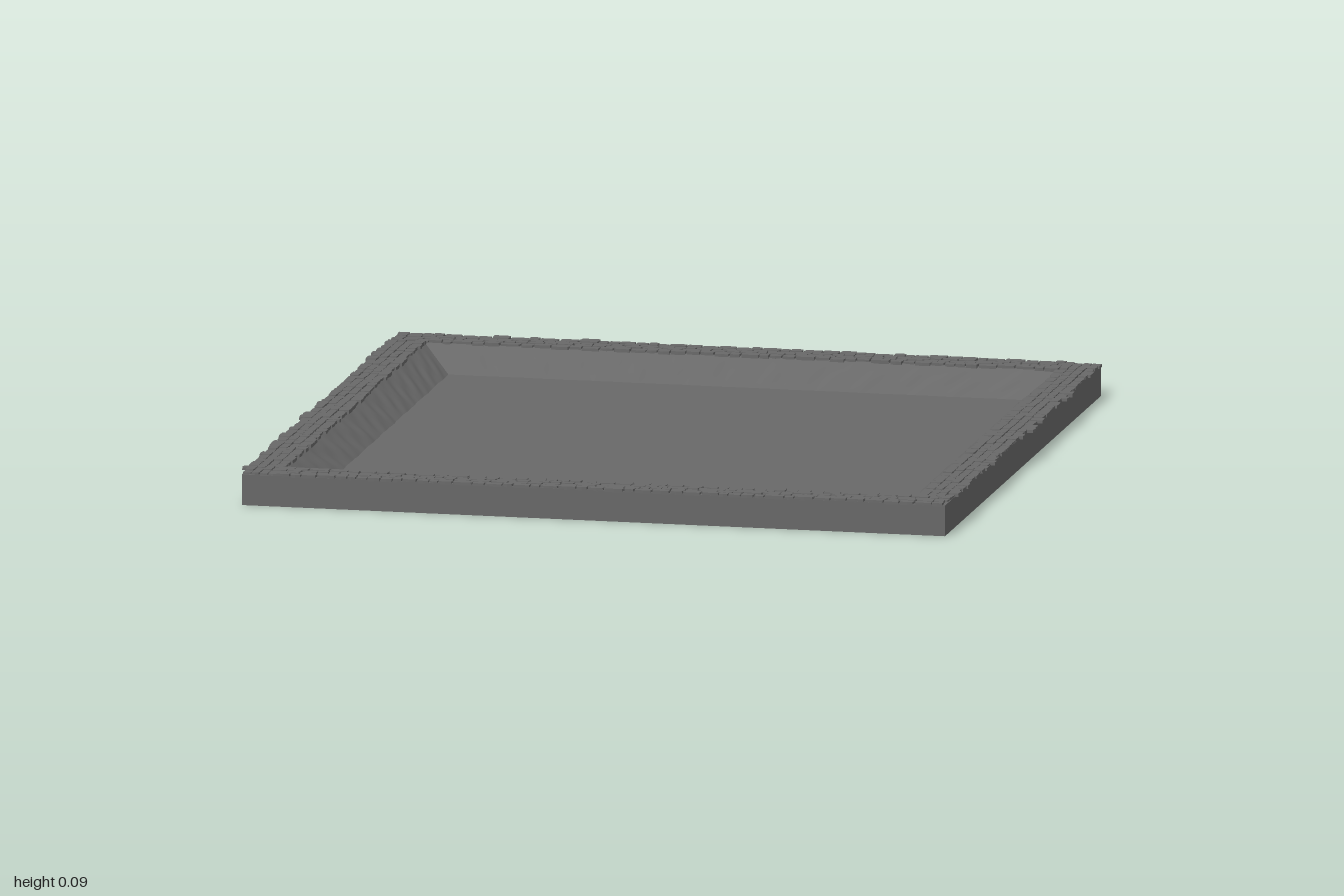
import * as THREE from 'three';
import { mergeGeometries } from 'three/addons/utils/BufferGeometryUtils.js';

const OUTER = 0.98, RIM = 0.885, FLOOR = 0.8; // half widths
const TOP = 0.085, FLOOR_Y = 0.016;           // heights

function seeded(seed) {
  return () => {
    seed = (seed * 16807) % 2147483647;
    return seed / 2147483647;
  };
}

const square = (h, Type) => new Type([[-h, -h], [h, -h], [h, h], [-h, h]].map(([x, y]) => new THREE.Vector2(x, y)));

// Sloped, rippled earth bank along the back side, mitred at both ends
function bankGeometry(phase) {
  const geo = new THREE.PlaneGeometry(2, 1, 120, 6);
  const p = geo.attributes.position;
  for (let i = 0; i < p.count; i++) {
    const u = p.getX(i), v = p.getY(i) + 0.5;
    const fade = Math.min(1, (1 - Math.abs(u)) * 12);
    const ripple = Math.sin(u * 23 + phase + v * 3) + 0.6 * Math.sin(u * 57 - v * 4 + phase * 2) + 0.3 * Math.sin(u * 97 + phase * 5);
    const bulge = ripple * fade * 0.012 * v * (1 - v) + ripple * fade * 0.0012 * (1 - v);
    const r = THREE.MathUtils.lerp(FLOOR, RIM, v) + bulge;
    p.setXYZ(i, u * r, THREE.MathUtils.lerp(FLOOR_Y, TOP, v), -r);
  }
  geo.computeVertexNormals();
  return geo;
}

// One flat cobble: a slab with rounded, uneven corners
function stoneGeometry(x, z, w, d, top, rand) {
  const geo = new THREE.CylinderGeometry(0.96, 1, 1, 8, 1);
  const jitter = Array.from({ length: 8 }, (_, k) => (k % 2 ? 1.28 : 1) * (0.94 + rand() * 0.12));
  const base = TOP - 0.003;
  const p = geo.attributes.position;
  for (let i = 0; i < p.count; i++) {
    const px = p.getX(i), pz = p.getZ(i);
    const k = (Math.round(Math.atan2(pz, px) / (Math.PI / 4)) + 8) % 8;
    p.setXYZ(i, x + px * jitter[k] * w / 2, p.getY(i) > 0 ? top : base, z + pz * jitter[k] * d / 2);
  }
  return geo;
}

// Irregular rows of cobbles along the back rim; overhang is the outer spill
function cobbleGeometry(seed, overhang) {
  const rand = seeded(seed), stones = [], rows = 4;
  const depth = (OUTER - RIM) / rows;
  for (let row = 0; row < rows; row++) {
    let x = -OUTER + rand() * 0.01;
    while (x < RIM - 0.012) {
      const w = Math.min(0.024 + rand() * 0.034, RIM - x);
      const outSpill = row === rows - 1 ? overhang * rand() * rand() : 0;
      const inSpill = row === 0 ? 0.01 * rand() : 0;
      const d = depth * (0.96 + rand() * 0.08) + outSpill + inSpill;
      const z = -(RIM + depth * (row + 0.5) + (outSpill - inSpill) / 2);
      stones.push(stoneGeometry(x + w / 2, z, w, d, TOP + 0.004 + rand() * 0.003, rand));
      x += w;
    }
  }
  const merged = mergeGeometries(stones);
  merged.computeVertexNormals();
  return merged;
}

export function createModel() {
  const group = new THREE.Group();
  const smooth = new THREE.MeshStandardMaterial({ color: 0x686868 });
  const flat = new THREE.MeshStandardMaterial({ color: 0x686868, flatShading: true });
  const add = (name, geo, mat) => {
    const mesh = new THREE.Mesh(geo, mat);
    mesh.name = name;
    group.add(mesh);
    return mesh;
  };

  // Plain outer frame with a square opening
  const outline = square(OUTER, THREE.Shape);
  outline.holes.push(square(RIM, THREE.Path));
  const frame = new THREE.ExtrudeGeometry(outline, { depth: TOP, bevelEnabled: false });
  frame.rotateX(-Math.PI / 2);
  add('outerFrame', frame, flat);

  // Sunken floor slab
  const floor = new THREE.BoxGeometry(RIM * 2, FLOOR_Y, RIM * 2);
  floor.translate(0, FLOOR_Y / 2, 0);
  add('floor', floor, flat);

  // Four sides by quarter turns, starting at the back
  const sides = ['back', 'right', 'front', 'left'];
  sides.forEach((side, k) => {
    const turn = k * Math.PI / 2;
    add(side + 'Bank', bankGeometry(k * 1.7), smooth).rotation.y = turn;
    add(side + 'Cobbles', cobbleGeometry(101 + k * 977, side === 'front' ? 0.004 : 0.02), flat).rotation.y = turn;
  });
  return group;
}
